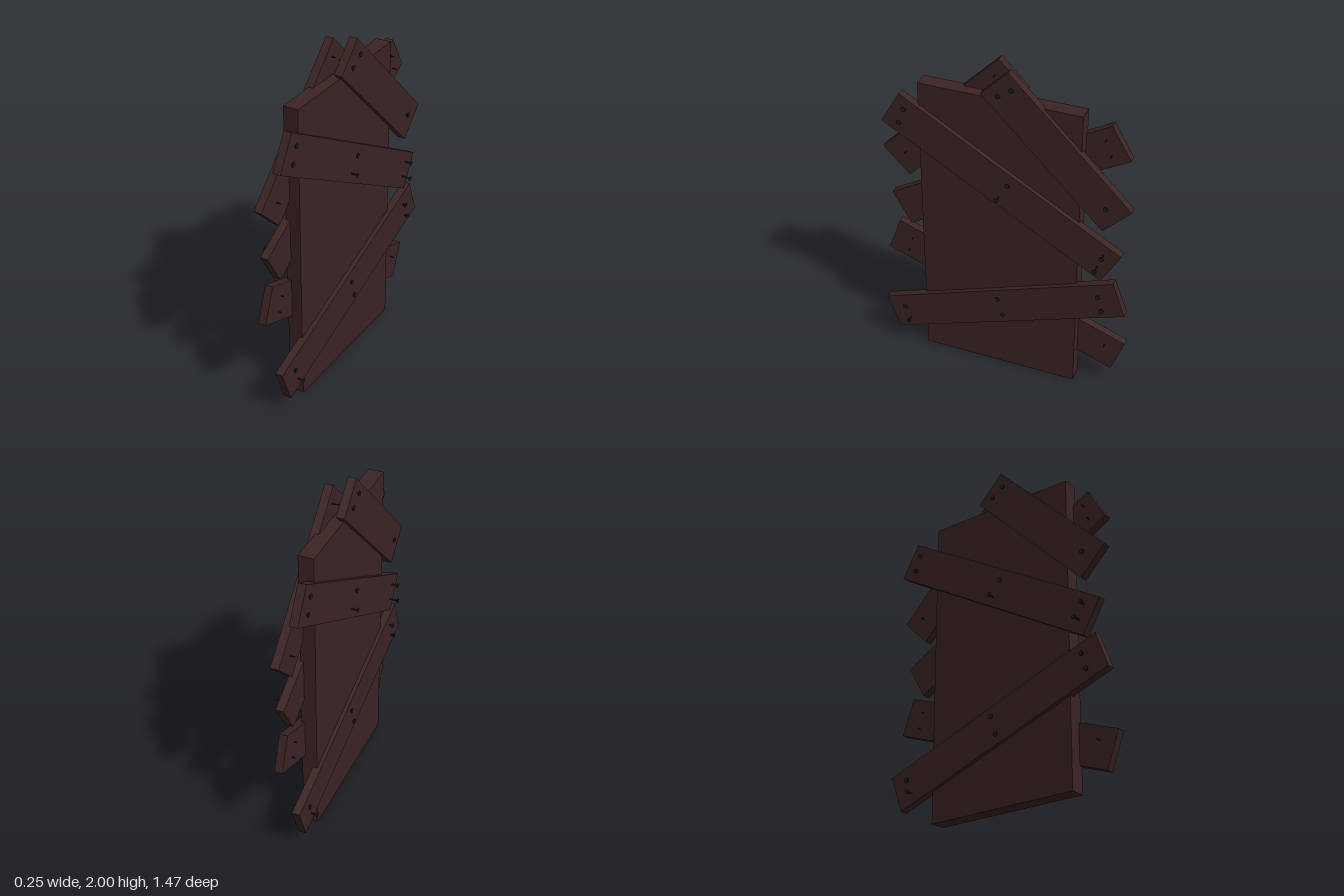
import * as THREE from 'three';

const wood = new THREE.MeshStandardMaterial({ color: 0x3b2323 });
wood.name = 'dark wood';
const iron = new THREE.MeshStandardMaterial({ color: 0x1a1c1c });
iron.name = 'black iron';

// Nail lying along x: a flat head at the outer end and a thin pointed shaft
function makeNail(x, y, z) {
  const nail = new THREE.Group();
  nail.name = 'nail';
  const head = new THREE.Mesh(new THREE.CylinderGeometry(0.014, 0.014, 0.005, 10), iron);
  head.name = 'nailHead';
  const shaft = new THREE.Mesh(new THREE.CylinderGeometry(0.005, 0.003, 0.08, 8), iron);
  shaft.name = 'nailShaft';
  shaft.position.y = -0.0425;
  nail.add(head, shaft);
  nail.rotation.z = -Math.PI / 2;
  nail.position.set(x, y, z);
  return nail;
}

// Planks: centre z, centre y, length, slope in degrees; nails: head x, y, z
const planks = [
  {
    name: 'upperPlank', z: 0, y: 1.265, length: 1.47, slope: 30,
    nails: [[0.077, 1.64, 0.554], [0.077, 1.55, 0.586], [0.077, 1.294, -0.04],
      [0.105, 1.207, 0.013], [0.105, 0.979, -0.592], [0.12, 0.897, -0.56]],
  },
  {
    name: 'lowerPlank', z: -0.003, y: 0.445, length: 1.468, slope: -20,
    nails: [[0.077, 0.26, 0.607], [0.105, 0.18, 0.576], [0.077, 0.493, 0.019],
      [0.077, 0.387, -0.013], [0.087, 0.695, -0.576], [0.087, 0.605, -0.602]],
  },
  {
    name: 'topPlank', z: -0.309, y: 1.563, length: 0.977, slope: 45,
    nails: [[0.077, 1.841, 0.013], [0.077, 1.889, -0.061], [0.077, 1.289, -0.592]],
  },
];

// One side's set of crossed planks with their nails
function makeBarricade(name) {
  const side = new THREE.Group();
  side.name = name;
  for (const p of planks) {
    const plank = new THREE.Mesh(new THREE.BoxGeometry(0.047, 0.22, p.length), wood);
    plank.name = p.name;
    plank.position.set(0.044, p.y, p.z);
    plank.rotation.x = -THREE.MathUtils.degToRad(p.slope);
    side.add(plank);
    for (const n of p.nails) side.add(makeNail(...n));
  }
  return side;
}

export function createModel() {
  const model = new THREE.Group();
  model.name = 'boardedDoor';

  // Door slab
  const door = new THREE.Mesh(new THREE.BoxGeometry(0.088, 1.8, 0.922), wood);
  door.name = 'door';
  door.position.set(-0.004, 0.9, 0.022);
  model.add(door);

  // The same planks on both faces, turned half around for the second
  const left = makeBarricade('leftPlanks');
  const right = makeBarricade('rightPlanks');
  right.rotation.y = Math.PI;
  right.position.set(-0.002, 0.014, 0.005);
  model.add(left, right);
  return model;
}
